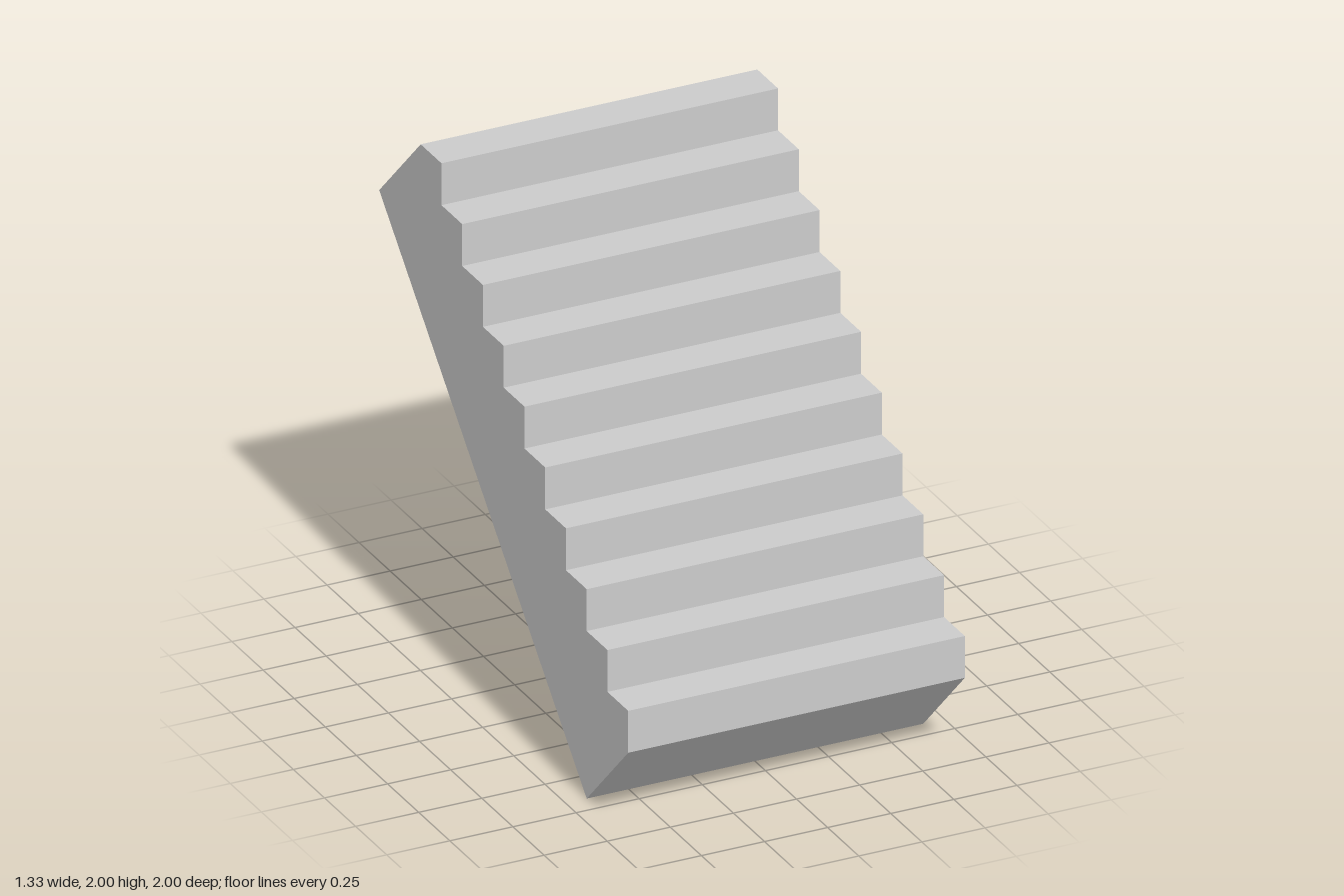
import * as THREE from 'three';

const STEPS = 10;
const STEP = 1 / 6; // rise and run of each step
const WIDTH = 4 / 3;

export function createModel() {
  const group = new THREE.Group();
  group.name = 'staircase';

  // Side profile: shape x runs towards the back, shape y is up
  const profile = new THREE.Shape();
  profile.moveTo(-4 * STEP, 0); // foot of the sloped underside
  profile.lineTo(6 * STEP, 10 * STEP); // top of the underside
  profile.lineTo(4 * STEP, 12 * STEP); // back edge of the top tread
  for (let i = STEPS - 1; i >= 0; i--) {
    const front = (i - 6) * STEP;
    profile.lineTo(front, (i + 3) * STEP); // tread
    profile.lineTo(front, (i + 2) * STEP); // riser
  }
  profile.closePath();

  // Extrude across the width and turn the profile to face +z
  const geometry = new THREE.ExtrudeGeometry(profile, { depth: WIDTH, bevelEnabled: false });
  geometry.translate(0, 0, -WIDTH / 2);
  geometry.rotateY(Math.PI / 2);

  const material = new THREE.MeshStandardMaterial({ color: 0xcccccc, flatShading: true });
  const flight = new THREE.Mesh(geometry, material);
  flight.name = 'stairFlight';
  group.add(flight);
  return group;
}
